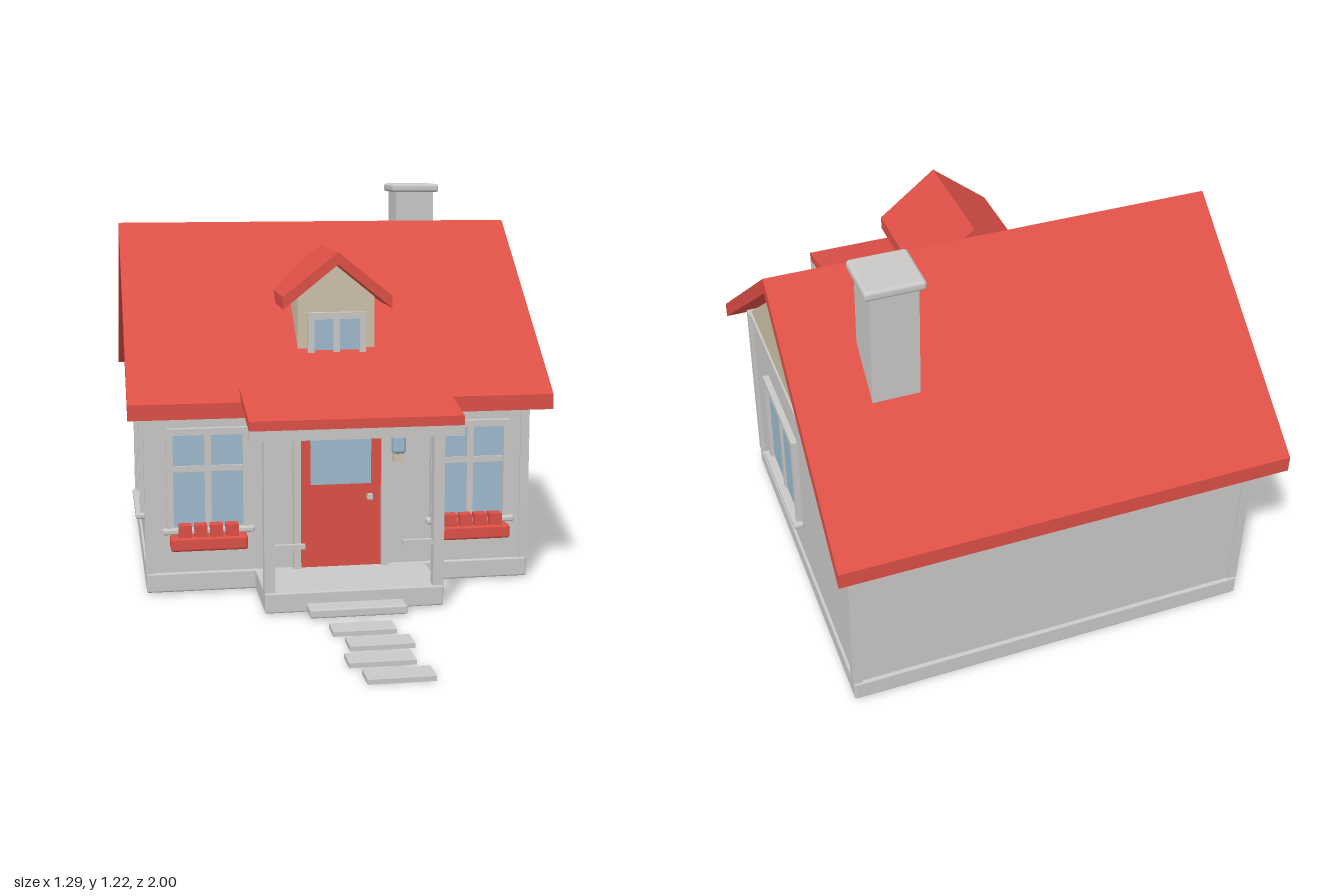
import * as THREE from 'three';
import { RoundedBoxGeometry } from 'three/addons/geometries/RoundedBoxGeometry.js';

const mat = (name, color) => {
  const m = new THREE.MeshStandardMaterial({ color });
  m.name = name;
  return m;
};

export function createModel() {
  const root = new THREE.Group();
  root.name = 'cottage';
  const grey = mat('pale grey', 0xcbc9c7);
  const red = mat('red', 0xdd5046);
  const glass = mat('blue glass', 0x9dbacd);
  const beige = mat('beige', 0xcec1ab);

  const add = (name, geo, m, parent = root) => {
    const mesh = new THREE.Mesh(geo, m);
    mesh.name = name;
    parent.add(mesh);
    return mesh;
  };
  // Box given by its extents on each axis; r > 0 rounds the edges
  const box = (name, m, [x0, x1], [y0, y1], [z0, z1], parent = root, r = 0) => {
    const s = [x1 - x0, y1 - y0, z1 - z0];
    const geo = r ? new RoundedBoxGeometry(...s, 2, r) : new THREE.BoxGeometry(...s);
    geo.translate((x0 + x1) / 2, (y0 + y1) / 2, (z0 + z1) / 2);
    return add(name, geo, m, parent);
  };
  // Extrusion of an outline, centred along its depth
  const prism = (pts, depth) => {
    const shape = new THREE.Shape(pts.map(p => new THREE.Vector2(...p)));
    return new THREE.ExtrudeGeometry(shape, { depth, bevelEnabled: false }).translate(0, 0, -depth / 2);
  };
  const chevron = (half, eave, peak, t) => [
    [-half, eave - t], [0, peak - t], [half, eave - t], [half, eave], [0, peak], [-half, eave],
  ];
  const group = (name, parent = root) => {
    const g = new THREE.Group();
    g.name = name;
    parent.add(g);
    return g;
  };

  // Window built facing +z around x = 0, back on z = 0
  const makeWindow = (name, { w, y0, y1, fw, depth, bar, sill }) => {
    const g = group(name), h = w / 2;
    box('windowGlass', glass, [-h + fw, h - fw], [y0, y1 - fw], [0, 0.007], g);
    for (const s of [-1, 1]) {
      const x = s * (h - fw / 2);
      box('windowJamb', grey, [x - fw / 2, x + fw / 2], [y0, y1], [0, depth], g);
    }
    box('windowHead', grey, [-h + fw, h - fw], [y1 - fw, y1], [0, depth], g);
    box('windowMullion', grey, [-0.01, 0.01], [y0, y1 - fw], [0, depth * 0.7], g);
    if (bar) box('windowBar', grey, [-h + fw, h - fw], [bar - 0.009, bar + 0.009], [0, depth * 0.65], g);
    if (sill) box('windowSill', grey, [-h - 0.014, h + 0.014], [y0 - 0.01, y0 + 0.008], [0, 0.032], g, 0.006);
    return g;
  };

  // Foundation, walls, corner boards and frieze
  box('foundation', grey, [-0.595, 0.595], [0.006, 0.066], [-0.915, 0.148], root, 0.006);
  box('walls', grey, [-0.587, 0.587], [0.06, 0.626], [-0.905, 0.14]);
  for (const x of [-0.583, 0.583]) {
    for (const z of [-0.896, 0.131]) {
      box('cornerBoard', grey, [x - 0.014, x + 0.014], [0.064, 0.622], [z - 0.014, z + 0.014]);
    }
    box('sideFrieze', grey, [x - 0.009, x + 0.009], [0.596, 0.627], [-0.905, 0.14]);
  }
  box('backFrieze', grey, [-0.585, 0.585], [0.59, 0.62], [-0.91, -0.9]);
  box('frontFrieze', grey, [-0.585, 0.585], [0.59, 0.62], [0.135, 0.145]);

  // Gables and main roof
  add('gables', prism([[-0.522, 0.62], [0.522, 0.62], [0, 1.047]], 1.172).rotateY(Math.PI / 2), beige)
    .position.z = -0.385;
  add('mainRoof', prism(chevron(0.615, 0.6, 1.1, 0.047), 1.29).rotateY(Math.PI / 2), red)
    .position.z = -0.385;

  // Chimney
  box('chimney', grey, [0.314, 0.446], [0.78, 1.2], [-0.685, -0.555]);
  box('chimneyCap', grey, [0.298, 0.462], [1.19, 1.218], [-0.702, -0.538], root, 0.01);

  // Dormer with its window
  const dormer = group('dormer');
  add('dormerBody', prism([[-0.12, 0.73], [0.12, 0.73], [0.12, 0.89], [0, 0.987], [-0.12, 0.89]], 0.31), beige, dormer)
    .position.z = -0.09;
  add('dormerRoof', prism(chevron(0.168, 0.896, 1.03, 0.038), 0.35), red, dormer).position.z = -0.075;
  makeWindow('dormerWindow', { w: 0.18, y0: 0.722, y1: 0.845, fw: 0.02, depth: 0.02 }).position.z = 0.065;

  // Side and front windows
  for (const s of [-1, 1]) {
    const side = makeWindow('sideWindow', { w: 0.33, y0: 0.2, y1: 0.514, fw: 0.02, depth: 0.018, sill: true });
    side.position.set(s * 0.587, 0, -0.22);
    side.rotation.y = s * Math.PI / 2;
    const front = makeWindow('frontWindow', { w: 0.25, y0: 0.2, y1: 0.512, fw: 0.02, depth: 0.02, bar: 0.388, sill: true });
    front.position.set(s * 0.406, 0, 0.14);

    // Flower boxes
    const planter = group('flowerBox');
    planter.position.x = s * 0.407;
    box('planter', red, [-0.116, 0.116], [0.146, 0.188], [0.142, 0.206], planter, 0.008);
    for (let i = 0; i < 4; i++) {
      const x = s * (-0.073 + i * 0.047 + 0.004);
      box('flower', red, [x - 0.019, x + 0.019], [0.18, 0.224], [0.16, 0.199], planter);
    }
  }

  // Front door
  const door = group('frontDoor');
  box('doorLeaf', red, [-0.125, 0.125], [0.065, 0.522], [0.138, 0.15], door);
  box('doorGlass', glass, [-0.094, 0.094], [0.325, 0.493], [0.149, 0.154], door);
  box('doorKnob', grey, [0.081, 0.097], [0.276, 0.292], [0.149, 0.168], door);
  for (const s of [-1, 1]) {
    const x = s * 0.136;
    box('doorJamb', grey, [x - 0.011, x + 0.011], [0.065, 0.545], [0.138, 0.165], door);
  }
  box('doorHead', grey, [-0.147, 0.147], [0.522, 0.546], [0.138, 0.165], door);

  // Wall lamp
  box('lampGlass', glass, [0.156, 0.198], [0.418, 0.48], [0.145, 0.187], root, 0.012);
  box('lampBracket', beige, [0.163, 0.191], [0.39, 0.42], [0.138, 0.165]);

  // Porch floor, step, posts and short rails
  box('porchFloor', grey, [-0.265, 0.265], [0.006, 0.066], [0.13, 0.406], root, 0.005);
  box('porchStep', grey, [-0.143, 0.143], [0.006, 0.032], [0.395, 0.472], root, 0.005);
  for (const s of [-1, 1]) {
    const x = s * 0.25, r = s * 0.191;
    box('porchPost', grey, [x - 0.016, x + 0.016], [0.06, 0.526], [0.367, 0.4]);
    box('porchRail', grey, [r - 0.046, r + 0.046], [0.19, 0.204], [0.376, 0.391]);
  }

  // Porch roof and its front beam
  add('porchRoof', prism([[0.13, 0.62], [0.445, 0.553], [0.445, 0.581], [0.13, 0.648]], 0.624).rotateY(-Math.PI / 2), red);
  box('porchBeam', grey, [-0.312, 0.312], [0.522, 0.556], [0.428, 0.445]);

  // Stepping stones
  [[-0.01, 0.58], [0.015, 0.706], [-0.01, 0.834], [0.015, 0.96]].forEach(([x, z]) =>
    box('steppingStone', grey, [x - 0.09, x + 0.09], [0, 0.013], [z - 0.04, z + 0.04]));

  return root;
}
